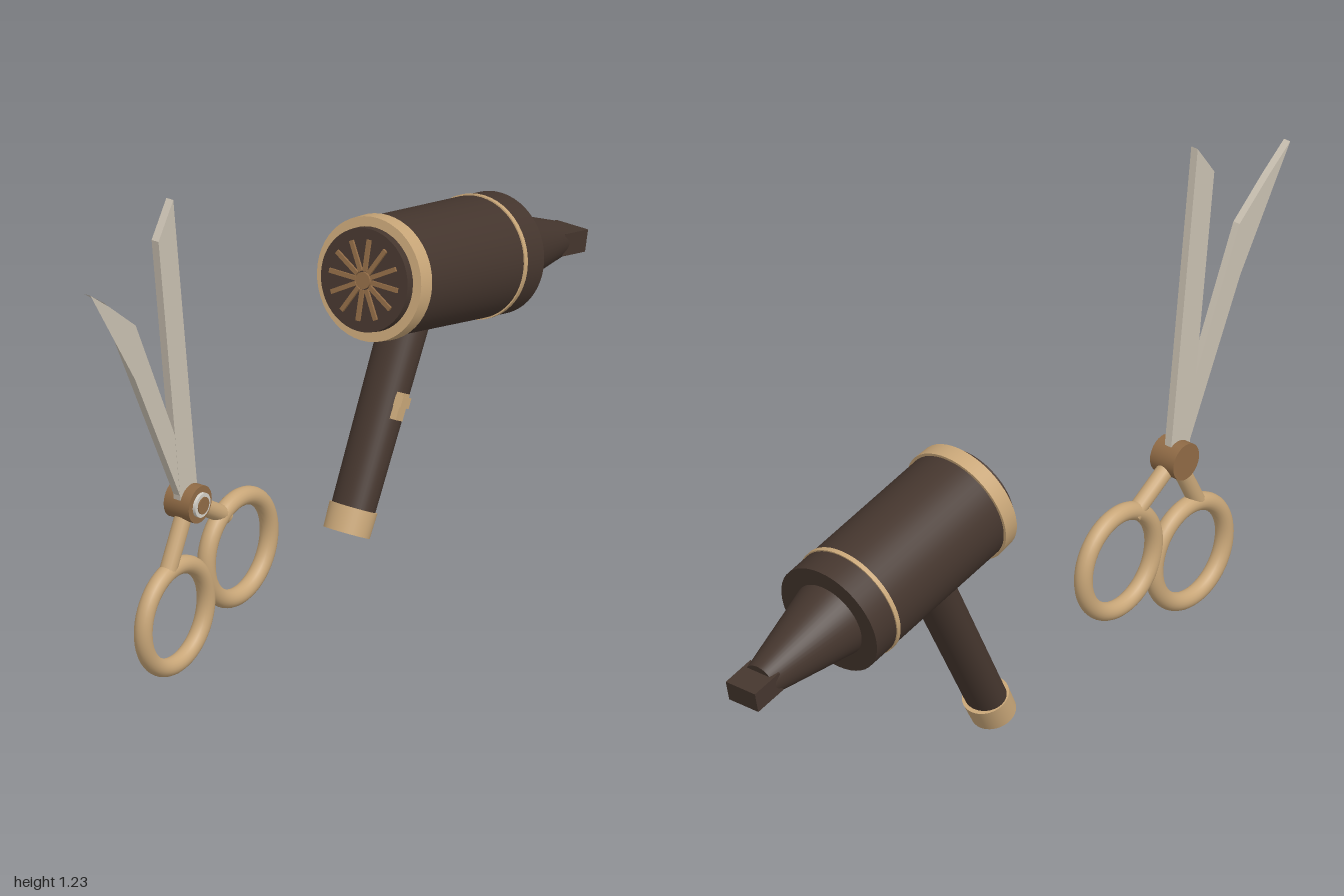
import * as THREE from 'three';

const mat = (name, color) => {
  const m = new THREE.MeshStandardMaterial({ color });
  m.name = name;
  return m;
};

export function createModel() {
  const dark = mat('dark brown', 0x45362e);
  const tan = mat('tan', 0xc8a678);
  const bronze = mat('bronze', 0x8f6a45);
  const steel = mat('blade steel', 0xc9c0b1);
  const silver = mat('silver', 0xd4d0c8);

  const model = new THREE.Group();
  const add = (parent, name, geometry, material, x = 0, y = 0, z = 0) => {
    const m = new THREE.Mesh(geometry, material);
    m.name = name;
    m.position.set(x, y, z);
    parent.add(m);
    return m;
  };

  // ---- Hair dryer: barrel runs along local +x from its rear rim ----
  const dryer = new THREE.Group();
  dryer.name = 'hairDryer';
  dryer.position.set(0.191, 0.687, 0);
  dryer.rotation.z = -0.232;
  model.add(dryer);

  // Tapered round section from x0 (radius r0) to x1 (radius r1)
  const section = (name, x0, x1, r0, r1, material) =>
    add(dryer, name, new THREE.CylinderGeometry(r1, r0, x1 - x0, 48).rotateZ(-Math.PI / 2), material, (x0 + x1) / 2);

  section('barrel', 0.03, 0.507, 0.143, 0.145, dark);
  section('rearTrim', 0, 0.042, 0.148, 0.15, tan);
  section('frontTrim', 0.424, 0.436, 0.148, 0.148, tan);
  section('rearCap', -0.02, 0.01, 0.123, 0.125, dark);
  section('nozzle', 0.5, 0.76, 0.1, 0.044, dark);
  add(dryer, 'nozzleTip', new THREE.BoxGeometry(0.09, 0.054, 0.09), dark, 0.78);

  // Rear grille: radial bars and a hub
  for (let i = 0; i < 12; i++) {
    const a = (i / 12) * Math.PI * 2;
    const bar = add(dryer, 'grilleBar', new THREE.BoxGeometry(0.008, 0.075, 0.011), bronze,
      -0.022, Math.cos(a) * 0.06, Math.sin(a) * 0.06);
    bar.rotation.x = a;
  }
  section('grilleHub', -0.027, -0.019, 0.02, 0.02, bronze);

  // Handle, built upward along its own y axis
  const handle = new THREE.Group();
  handle.name = 'handle';
  handle.position.set(0.101, 0.07, 0);
  handle.rotation.z = -0.472;
  model.add(handle);
  add(handle, 'grip', new THREE.CylinderGeometry(0.061, 0.055, 0.5, 40).scale(0.82, 1, 1), dark, 0, 0.29);
  add(handle, 'gripCap', new THREE.CylinderGeometry(0.059, 0.057, 0.062, 40).scale(0.94, 1, 1), tan, 0, 0.031);
  add(handle, 'switchPlate', new THREE.BoxGeometry(0.03, 0.065, 0.02), tan, -0.012, 0.318, 0.055);
  add(handle, 'switchSlider', new THREE.BoxGeometry(0.036, 0.026, 0.024), tan, -0.01, 0.33, 0.057);

  // ---- Scissors, lying in a plane just ahead of centre ----
  const scissors = new THREE.Group();
  scissors.name = 'scissors';
  scissors.position.z = 0.05;
  model.add(scissors);

  const blade = (name, points, depth) => {
    const shape = new THREE.Shape(points.map(([x, y]) => new THREE.Vector2(x, y)));
    const g = new THREE.ExtrudeGeometry(shape, { depth, bevelEnabled: false });
    add(scissors, name, g.translate(0, 0, -depth / 2), steel);
  };
  blade('uprightBlade', [[-0.671, 1.23], [-0.73, 1.144], [-0.64, 0.43], [-0.572, 0.43]], 0.02);
  blade('leaningBlade', [[-1, 1.107], [-0.939, 1.063], [-0.634, 0.44], [-0.58, 0.44], [-0.82, 0.963], [-0.925, 1.05]], 0.019);

  // Finger rings and the shanks joining them to the pivot
  const pivot = new THREE.Vector3(-0.6, 0.428, 0);
  [[-0.652, 0.152, -0.68, 0.275], [-0.401, 0.235, -0.45, 0.335]].forEach(([x, y, ex, ey]) => {
    add(scissors, 'fingerRing', new THREE.TorusGeometry(0.125, 0.022, 20, 56), tan, x, y);
    const path = new THREE.LineCurve3(pivot, new THREE.Vector3(ex, ey, 0));
    add(scissors, 'shank', new THREE.TubeGeometry(path, 1, 0.021, 16), tan);
  });

  // Pivot screw
  const disc = (name, r, z0, z1, material) =>
    add(scissors, name, new THREE.CylinderGeometry(r, r, z1 - z0, 32).rotateX(Math.PI / 2), material,
      pivot.x, pivot.y, (z0 + z1) / 2);
  disc('pivot', 0.046, -0.036, 0.036, bronze);
  disc('screwHead', 0.03, 0.03, 0.044, silver);
  disc('screwCentre', 0.021, 0.04, 0.047, bronze);
  return model;
}
